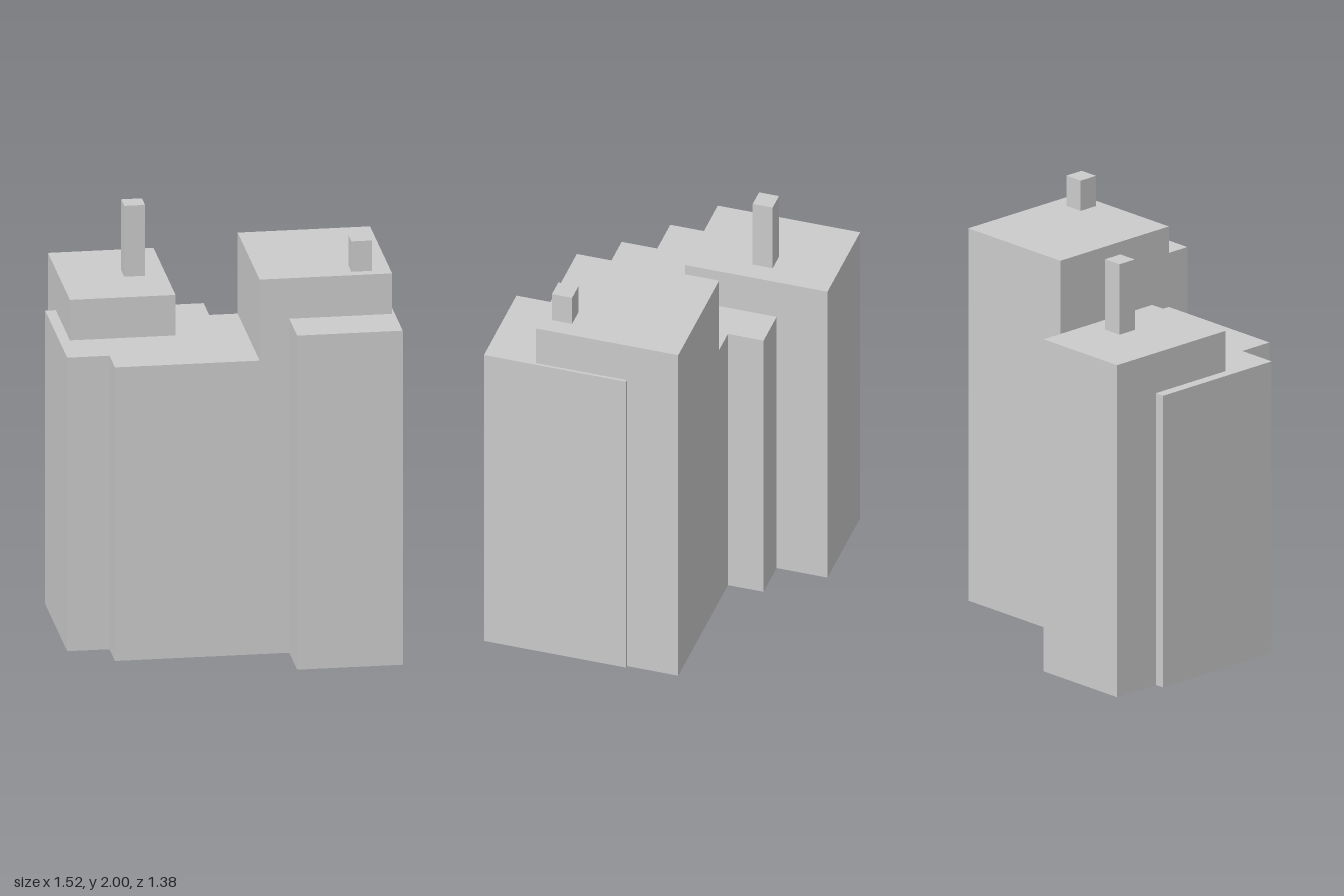
import * as THREE from 'three';

export function createModel() {
  const group = new THREE.Group();
  const material = new THREE.MeshStandardMaterial({ color: 0xcccccc, flatShading: true });

  const add = (name, geometry) => {
    const mesh = new THREE.Mesh(geometry, material);
    mesh.name = name;
    group.add(mesh);
  };

  // Box given by its extents on each axis
  const block = (name, [x0, x1], [y0, y1], [z0, z1]) => {
    const geometry = new THREE.BoxGeometry(x1 - x0, y1 - y0, z1 - z0);
    geometry.translate((x0 + x1) / 2, (y0 + y1) / 2, (z0 + z1) / 2);
    add(name, geometry);
  };

  // Low main block: stepped footprint (x, z) raised to the lower roof
  const footprint = [
    [-0.765, 0.26], [-0.565, 0.26], [-0.565, 0.435], [0.12, 0.435],
    [0.12, -0.265], [-0.015, -0.265], [-0.015, -0.44], [-0.765, -0.44],
  ];
  const shape = new THREE.Shape(footprint.map(([x, z]) => new THREE.Vector2(x, -z)));
  const main = new THREE.ExtrudeGeometry(shape, { depth: 1.45, bevelEnabled: false });
  main.rotateX(-Math.PI / 2);
  add('mainBlock', main);

  // Taller blocks
  block('tallTower', [0.12, 0.747], [0, 1.85], [-0.265, 0.435]);
  block('frontWing', [0.26, 0.76], [0, 1.65], [-0.013, 0.687]);
  block('backWing', [-0.715, -0.215], [0, 1.65], [-0.69, 0.01]);

  // Chimneys
  block('tallChimney', [-0.413, -0.315], [1.65, 2], [-0.388, -0.29]);
  block('shortChimney', [0.562, 0.66], [1.85, 2], [0.285, 0.384]);

  return group;
}
